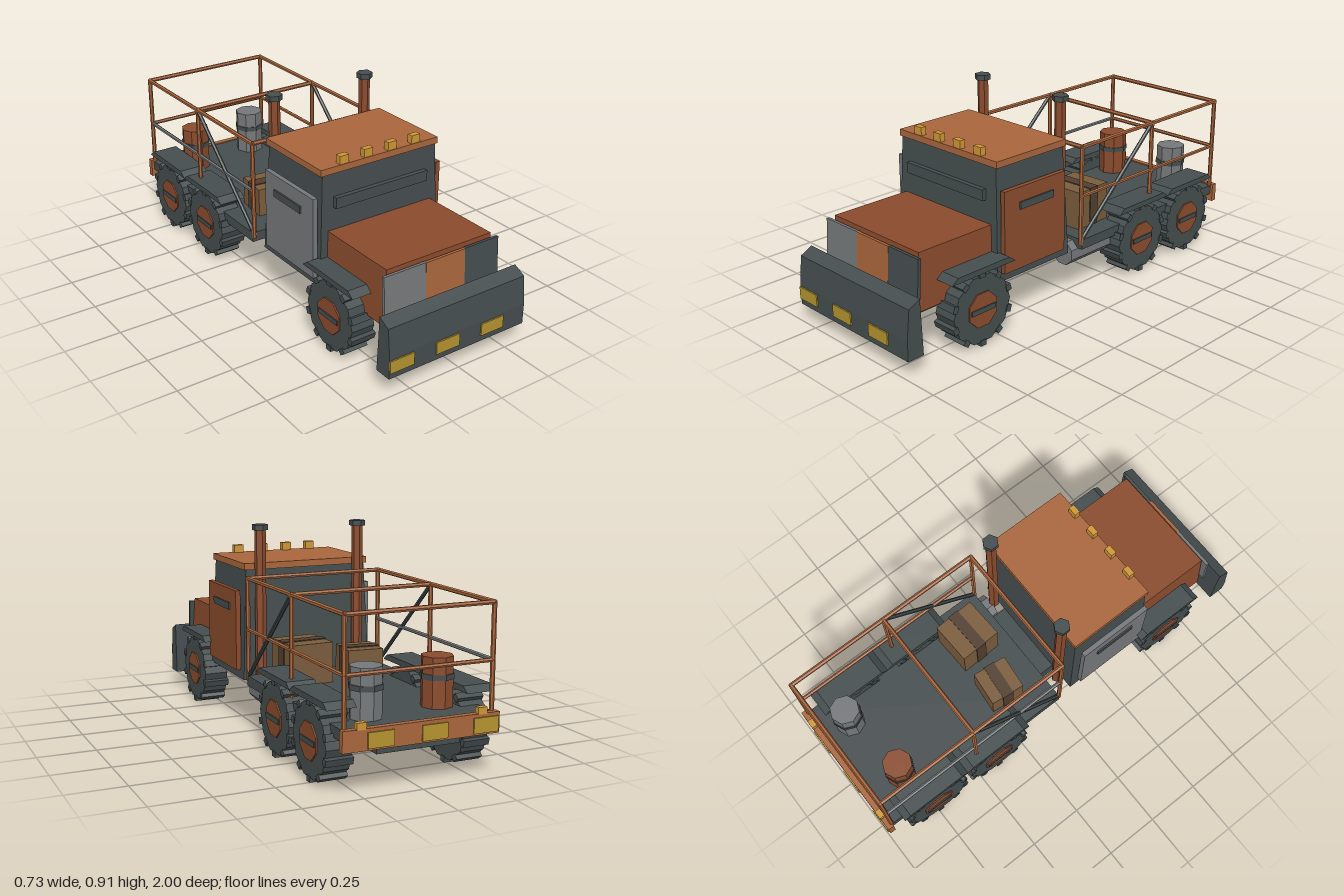
import * as THREE from 'three';

const mat = (name, color) => Object.assign(new THREE.MeshStandardMaterial({ color }), { name });
const M = {
  slate: mat('slate', 0x454d4e),
  rust: mat('rust', 0x8a4b2d),
  orange: mat('lightRust', 0xa9663c),
  grey: mat('grey', 0x75787a),
  yellow: mat('hazardYellow', 0xb5932f),
  amber: mat('amber', 0xcf9636),
  brown: mat('crateBrown', 0x7a5c3c),
  strap: mat('strapBrown', 0x523f30),
};

export function createModel() {
  const root = new THREE.Group();
  root.name = 'truck';

  const add = (name, geo, m, x = 0, y = 0, z = 0, parent = root) => {
    const mesh = new THREE.Mesh(geo, m);
    mesh.name = name;
    mesh.position.set(x, y, z);
    parent.add(mesh);
    return mesh;
  };
  // box given by its extents
  const box = (name, m, x0, x1, y0, y1, z0, z1, parent) =>
    add(name, new THREE.BoxGeometry(x1 - x0, y1 - y0, z1 - z0), m,
      (x0 + x1) / 2, (y0 + y1) / 2, (z0 + z1) / 2, parent);
  // faceted cylinder
  const cyl = (r, h, sides) => {
    const g = new THREE.CylinderGeometry(r, r, h, sides).toNonIndexed();
    g.computeVertexNormals();
    return g;
  };
  // side profile of [z, y] points extruded across x
  const profile = (pts, w) =>
    new THREE.ExtrudeGeometry(new THREE.Shape(pts.map(p => new THREE.Vector2(...p))),
      { depth: w, bevelEnabled: false }).rotateY(-Math.PI / 2).translate(w / 2, 0, 0);
  // box whose upper rectangle differs from its lower one: [halfX, z0, z1]
  const taper = (y0, y1, low, high) => {
    const g = new THREE.BoxGeometry(2, 1, 1).toNonIndexed(), p = g.attributes.position;
    for (let i = 0; i < p.count; i++) {
      const [hx, z0, z1] = p.getY(i) > 0 ? high : low;
      p.setXYZ(i, p.getX(i) * hx, p.getY(i) > 0 ? y1 : y0, p.getZ(i) > 0 ? z1 : z0);
    }
    g.computeVertexNormals();
    return g;
  };
  // square or round bar between two points
  const bar = (name, m, a, b, r = 0.01) => {
    const A = new THREE.Vector3(...a), B = new THREE.Vector3(...b), d = B.clone().sub(A);
    const mesh = add(name, cyl(r, d.length() + r, 6), m);
    mesh.position.copy(A).add(B).multiplyScalar(0.5);
    mesh.quaternion.setFromUnitVectors(new THREE.Vector3(0, 1, 0), d.normalize());
  };

  // chassis, bed and side tank
  box('chassis', M.slate, -0.18, 0.18, 0.15, 0.225, -0.96, 0.845);
  box('bed', M.slate, -0.325, 0.325, 0.215, 0.26, -0.97, -0.02);
  add('fuelTank', cyl(0.06, 0.26, 8).rotateX(Math.PI / 2).rotateZ(Math.PI / 8), M.grey, 0.245, 0.19, -0.11);

  // hood and patchwork grille
  add('hood', taper(0.22, 0.465, [0.28, 0.47, 0.868], [0.267, 0.47, 0.855]), M.rust);
  const grille = (name, m, x0, x1, z) => {
    box(name, m, x0, x1, 0.28, 0.45, z, z + 0.014).rotation.x = -0.06;
  };
  grille('grilleRight', M.grey, -0.295, -0.085, 0.868);
  grille('grilleCentre', M.orange, -0.09, 0.11, 0.87);
  grille('grilleLeft', M.slate, 0.11, 0.29, 0.868);

  // cab
  add('cab', taper(0.22, 0.715, [0.312, 0.055, 0.48], [0.29, 0.075, 0.463]), M.slate);
  box('roof', M.orange, -0.3, 0.3, 0.713, 0.742, 0.065, 0.468);
  box('windscreenSlit', M.slate, -0.237, 0.235, 0.563, 0.611, 0.46, 0.487);
  for (const s of [1, -1]) {
    const side = s > 0 ? 'left' : 'right';
    add(side + 'Door', new THREE.BoxGeometry(0.022, 0.36, 0.355), s > 0 ? M.rust : M.grey, s * 0.319, 0.438, 0.278);
    add(side + 'DoorSlit', new THREE.BoxGeometry(0.012, 0.032, 0.195), M.slate, s * 0.331, 0.538, 0.273);
    add(side + 'Exhaust', cyl(0.025, 0.67, 6), M.rust, s * 0.237, 0.56, 0.035);
    add(side + 'ExhaustCap', cyl(0.036, 0.024, 6), M.slate, s * 0.237, 0.903, 0.035);
  }
  for (const x of [-0.183, -0.062, 0.06, 0.183])
    box('roofLight', M.amber, x - 0.022, x + 0.022, 0.742, 0.778, 0.438, 0.465);

  // plough blade with hazard patches
  add('ploughBlade', profile([[0.915, 0.077], [0.993, 0.077], [0.993, 0.17], [0.98, 0.295], [0.925, 0.323]], 0.7), M.slate);
  for (const x of [-0.29, -0.06, 0.173])
    box('bladeStripe', M.yellow, x - 0.059, x + 0.059, 0.104, 0.159, 0.991, 0.999);

  // wheels and fenders
  const tyre = cyl(0.154, 0.11, 10).rotateZ(Math.PI / 2);
  const rim = cyl(0.08, 0.012, 8).rotateX(0).rotateY(Math.PI / 8).rotateZ(Math.PI / 2);
  const tread = new THREE.BoxGeometry(0.118, 0.025, 0.03);
  const fender = profile([[-0.172, 0.325], [0.172, 0.325], [0.14, 0.35], [-0.14, 0.35]], 0.125);
  for (const s of [1, -1]) for (const z of [0.607, -0.395, -0.738]) {
    const wheel = new THREE.Group();
    wheel.name = 'wheel';
    wheel.position.set(s * 0.3, 0.165, z);
    root.add(wheel);
    add('tyre', tyre, M.slate, 0, 0, 0, wheel);
    add('rim', rim, M.rust, s * 0.055, 0, 0, wheel);
    add('hubBar', new THREE.BoxGeometry(0.008, 0.022, 0.13), M.slate, s * 0.062, 0, 0, wheel);
    for (let i = 0; i < 10; i++) {
      const a = (i + 0.5) * Math.PI / 5;
      add('tread', tread, M.slate, 0, 0.152 * Math.cos(a + Math.PI / 10), 0.152 * Math.sin(a + Math.PI / 10), wheel)
        .rotation.x = a + Math.PI / 10;
    }
    add('fender', fender, M.slate, s * 0.302, 0, z - 0.005);
  }

  // bed railings
  const Z = [-0.018, -0.49, -0.965], X = 0.318;
  for (const s of [1, -1]) {
    const x = s * X;
    for (const z of Z) bar('railPost', M.orange, [x, 0.24, z], [x, 0.69, z]);
    bar('topRail', M.orange, [x, 0.69, Z[0]], [x, 0.69, Z[2]]);
    bar('middleRail', s > 0 ? M.orange : M.grey, [x, 0.465, Z[0]], [x, 0.465, Z[2]], 0.009);
    bar('brace', M.slate, [x, 0.26, -0.025], [x, 0.685, -0.485], 0.009);
  }
  for (const z of Z) bar('crossRail', M.orange, [-X, 0.69, z], [X, 0.69, z]);
  bar('rearMiddleRail', M.orange, [-X, 0.465, Z[2]], [X, 0.465, Z[2]], 0.009);

  // rear bumper with patches and lamps
  box('rearBumper', M.orange, -0.338, 0.338, 0.18, 0.265, -0.993, -0.965);
  for (const x of [-0.275, -0.05, 0.18])
    box('bumperStripe', M.yellow, x - 0.055, x + 0.055, 0.188, 0.25, -0.999, -0.991);
  for (const x of [-0.26, 0.26]) box('tailLamp', M.amber, x - 0.02, x + 0.02, 0.262, 0.29, -0.995, -0.97);

  // barrels
  for (const [x, z, m] of [[-0.17, -0.8, M.rust], [0.165, -0.84, M.grey]]) {
    add('barrel', cyl(0.066, 0.205, 8), m, x, 0.3625, z);
    add('barrelBand', cyl(0.07, 0.022, 8), M.slate, x, 0.385, z);
  }

  // crates with straps
  for (const [x, z, w, h, turn] of [[-0.125, -0.215, 0.16, 0.13, -0.1], [0.137, -0.19, 0.195, 0.175, 0.04]]) {
    const crate = new THREE.Group();
    crate.name = 'crate';
    crate.position.set(x, 0.26 + h / 2, z);
    crate.rotation.y = turn;
    root.add(crate);
    add('crateBox', new THREE.BoxGeometry(w, h, w), M.brown, 0, 0, 0, crate);
    add('crateStrap', new THREE.BoxGeometry(w + 0.008, h + 0.008, 0.052), M.strap, 0, 0, 0, crate);
  }
  return root;
}
